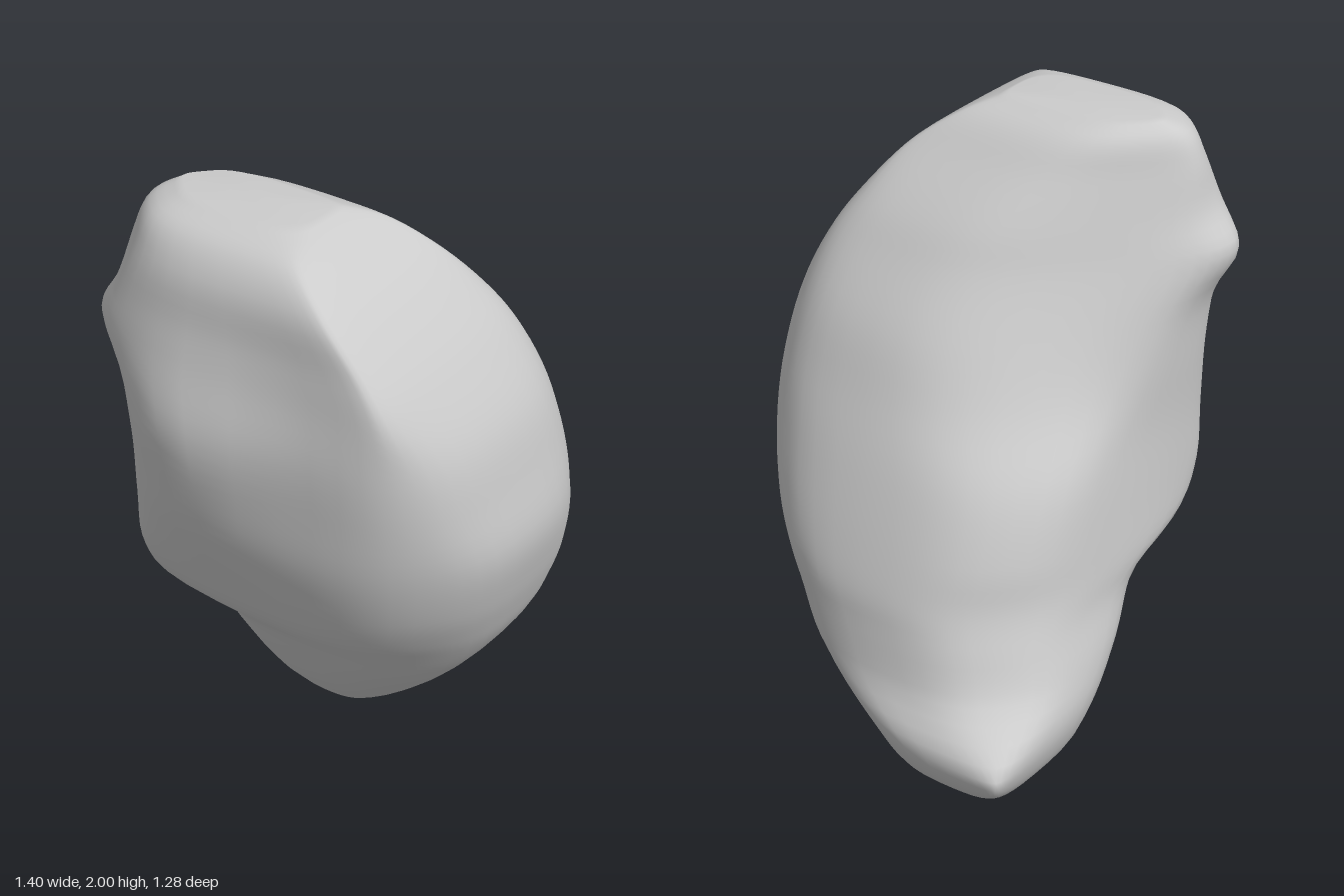
import * as THREE from 'three';

// Outline of the body at each height: how far it reaches in eight directions.
// y, +x, +x+z, +z, -x+z, -x, -x-z, -z, +x-z
const LEVELS = [
  [2.00, -0.20, -0.18, 0.05, 0.40, 0.42, 0.75, 0.42, 0.12],
  [1.95, -0.10, 0.03, 0.15, 0.64, 0.53, 0.90, 0.50, 0.19],
  [1.85, 0.00, 0.25, 0.28, 0.83, 0.59, 0.97, 0.54, 0.23],
  [1.70, 0.14, 0.46, 0.41, 0.96, 0.60, 1.04, 0.565, 0.29],
  [1.58, 0.22, 0.59, 0.49, 1.02, 0.61, 1.07, 0.60, 0.34],
  [1.40, 0.33, 0.72, 0.58, 1.03, 0.63, 1.03, 0.575, 0.44],
  [1.20, 0.41, 0.81, 0.62, 1.01, 0.62, 1.01, 0.565, 0.57],
  [1.00, 0.49, 0.86, 0.645, 0.96, 0.60, 1.01, 0.55, 0.74],
  [0.80, 0.56, 0.88, 0.60, 0.86, 0.54, 1.00, 0.54, 0.83],
  [0.66, 0.60, 0.86, 0.55, 0.75, 0.48, 0.92, 0.54, 0.86],
  [0.55, 0.615, 0.82, 0.50, 0.64, 0.395, 0.68, 0.54, 0.91],
  [0.40, 0.64, 0.76, 0.40, 0.48, 0.30, 0.58, 0.57, 1.00],
  [0.24, 0.70, 0.60, 0.26, 0.27, 0.19, 0.47, 0.58, 1.24],
  [0.10, 0.62, 0.46, 0.10, 0.06, 0.07, 0.36, 0.52, 1.07],
  [0.03, 0.45, 0.31, 0.00, -0.08, 0.00, 0.24, 0.42, 0.78],
  [0.00, 0.35, 0.18, -0.12, -0.30, -0.15, 0.10, 0.30, 0.58],
];
// Local swellings and hollows: centre, spread, push
const SWELLS = [
  [[-0.66, 1.36, -0.20], [0.25, 0.35, 0.25], [-0.08, 0, 0]], // flank
  [[-0.47, 1.58, -0.62], [0.15, 0.11, 0.15], [0, 0, -0.05]], // back corner
  [[-0.05, 1.15, -0.52], [0.25, 0.30, 0.20], [0, 0, 0.04]], // back hollow
].map((swell) => swell.map((v) => new THREE.Vector3(...v)));
const DIRS = [[1, 0], [1, 1], [0, 1], [-1, 1], [-1, 0], [-1, -1], [0, -1], [1, -1]];
const FULLNESS = 0.77; // how far the section swells into its corners
const STEPS = 6; // points per corner of the section
const ROWS = 64; // rows from top to bottom

// Smooth closed section that touches all eight sides of the outline
function section([y, ...reach]) {
  const corners = DIRS.map(([ax, az], k) => {
    const n = (k + 1) % 8;
    const [bx, bz] = DIRS[n];
    const det = ax * bz - az * bx;
    return new THREE.Vector3(
      (reach[k] * bz - reach[n] * az) / det, y, (ax * reach[n] - bx * reach[k]) / det);
  });
  const ring = [];
  corners.forEach((corner, k) => {
    const from = corners[(k + 7) % 8].clone().lerp(corner, 0.5);
    const to = corner.clone().lerp(corners[(k + 1) % 8], 0.5);
    const arc = new THREE.CubicBezierCurve3(
      from, from.clone().lerp(corner, FULLNESS), to.clone().lerp(corner, FULLNESS), to);
    for (let s = 0; s < STEPS; s++) ring.push(arc.getPoint(s / STEPS));
  });
  return ring;
}

// Push a point by every swelling, fading with distance
function swell(p) {
  const moved = p.clone();
  for (const [centre, spread, push] of SWELLS) {
    const d = p.clone().sub(centre).divide(spread);
    moved.addScaledVector(push, Math.exp(-d.lengthSq()));
  }
  return moved;
}

function bodyGeometry() {
  const rings = LEVELS.map(section);
  const count = rings[0].length;
  // Rails run from top to bottom through the sections
  const rails = rings[0].map((_, j) => new THREE.CatmullRomCurve3(rings.map((r) => r[j])));
  const positions = [];
  const index = [];
  for (let i = 0; i <= ROWS; i++) {
    for (const rail of rails) {
      const p = swell(rail.getPoint(i / ROWS));
      positions.push(p.x, Math.min(2, Math.max(0, p.y)), p.z);
    }
  }
  for (let i = 0; i < ROWS; i++) {
    for (let j = 0; j < count; j++) {
      const a = i * count + j;
      const b = i * count + (j + 1) % count;
      index.push(a, b, a + count, b, b + count, a + count);
    }
  }
  // Close the top and the underside
  for (const row of [0, ROWS]) {
    const ring = rings[row ? rings.length - 1 : 0];
    const mid = ring.reduce((sum, p) => sum.add(p), new THREE.Vector3()).divideScalar(count);
    const centre = positions.length / 3;
    positions.push(mid.x, mid.y, mid.z);
    for (let j = 0; j < count; j++) {
      const a = row * count + j;
      const b = row * count + (j + 1) % count;
      if (row) index.push(centre, a, b);
      else index.push(centre, b, a);
    }
  }
  const geometry = new THREE.BufferGeometry();
  geometry.setAttribute('position', new THREE.Float32BufferAttribute(positions, 3));
  geometry.setIndex(index);
  geometry.computeVertexNormals();
  return geometry;
}

export function createModel() {
  const group = new THREE.Group();
  group.name = 'curvedNut';
  const body = new THREE.Mesh(bodyGeometry(), new THREE.MeshStandardMaterial({ color: 0xcccccc }));
  body.name = 'body';
  group.add(body);
  return group;
}
